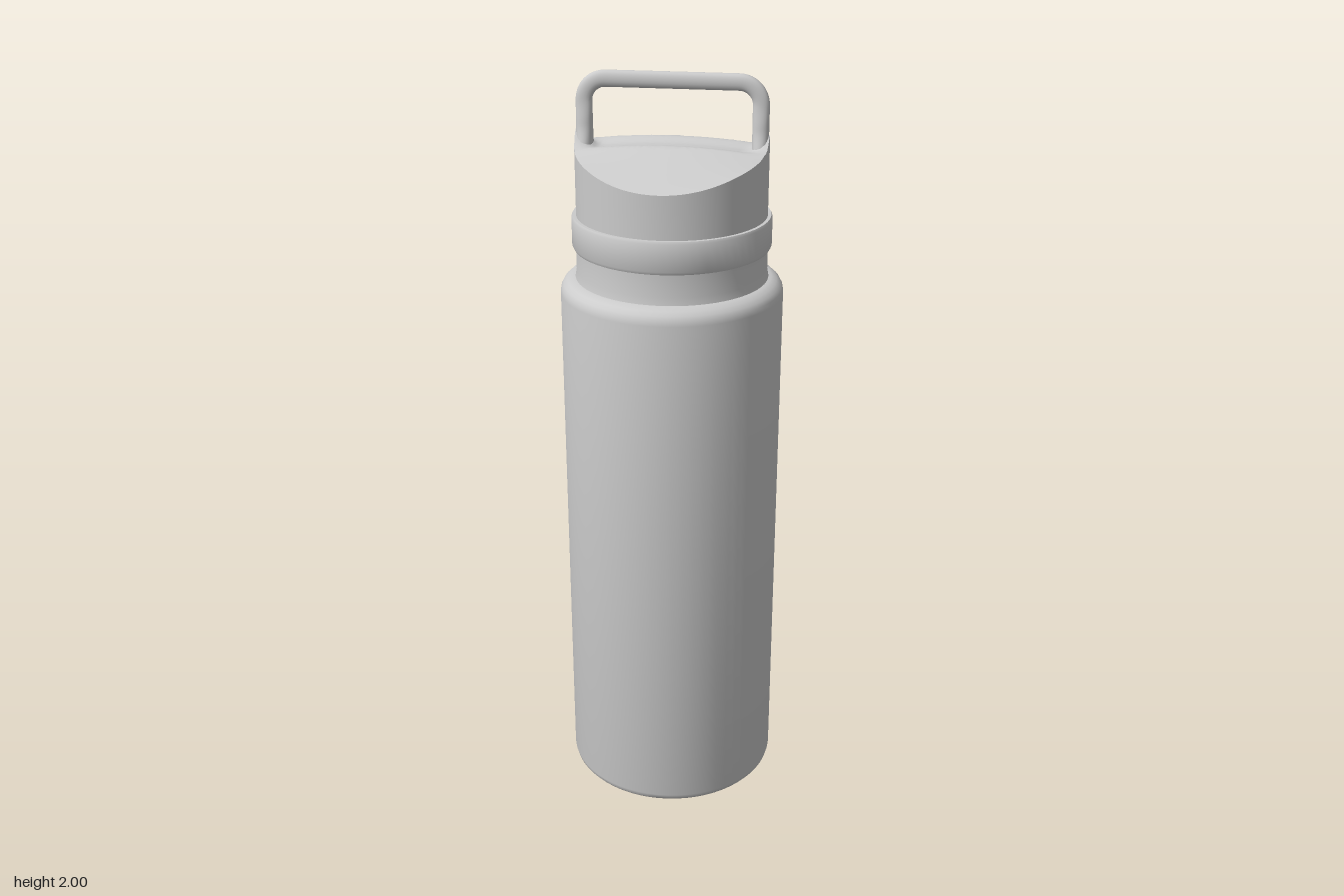
import * as THREE from 'three';
import { toCreasedNormals, mergeVertices } from 'three/addons/utils/BufferGeometryUtils.js';

const material = new THREE.MeshStandardMaterial({ color: 0xcccccc });
const { smoothstep, lerp } = THREE.MathUtils;

function addMesh(group, name, geometry) {
  const mesh = new THREE.Mesh(geometry, material);
  mesh.name = name;
  group.add(mesh);
}

function lathe(points, segments = 64) {
  return new THREE.LatheGeometry(points.map(([r, y]) => new THREE.Vector2(r, y)), segments);
}

// Height of the pitched lid top, rising into the feet of the handle
function lidHeight(x, z) {
  const az = Math.abs(z);
  const slope = lerp(1.829, 1.755, Math.max(0, (az - 0.06) / 0.185));
  const dip = 0.01 * (1 - smoothstep(az, 0.01, 0.06));
  const crown = 0.3 * x * x * (1 - smoothstep(az, 0.05, 0.22));
  const foot = 0.05 * Math.exp(-((z / 0.032) ** 2)) * smoothstep(Math.abs(x), 0.185, 0.24);
  return slope - dip - crown + foot;
}

function makeLid() {
  const profile = [[0.245, 1.63], [0.245, 1.75]];
  for (let i = 1; i <= 20; i++) profile.push([0.245 * (1 - i / 20), 1.75]);
  const geometry = lathe(profile, 128);
  const p = geometry.attributes.position;
  for (let i = 0; i < p.count; i++) {
    if (p.getY(i) > 1.7) p.setY(i, lidHeight(p.getX(i), p.getZ(i)));
  }
  return toCreasedNormals(geometry, 0.7);
}

// Carry loop: a tube along a rounded arch, thin at the top and flared at the feet
function makeHandle() {
  const w = 0.222, top = 1.979, r = 0.055, tube = 0.021;
  const arch = new THREE.Path();
  arch.moveTo(w, 1.74);
  arch.lineTo(w, top - r);
  arch.absarc(w - r, top - r, r, 0, Math.PI / 2, false);
  arch.lineTo(-w + r, top);
  arch.absarc(-w + r, top - r, r, Math.PI / 2, Math.PI, false);
  arch.lineTo(-w, 1.74);
  const points = arch.getSpacedPoints(80).map((q) => new THREE.Vector3(q.x, q.y, 0));
  const curve = new THREE.CatmullRomCurve3(points);
  let geometry = new THREE.TubeGeometry(curve, 120, tube, 20, false);
  const p = geometry.attributes.position;
  for (let i = 0; i < p.count; i++) {
    const y = p.getY(i), t = p.getZ(i) / tube;
    const half = 0.015 + 0.006 * smoothstep(-y, -1.93, -1.86) + 0.016 * smoothstep(-y, -1.87, -1.79);
    p.setZ(i, Math.sign(t) * Math.abs(t) ** 0.75 * half);
  }
  geometry.deleteAttribute('uv');
  geometry.deleteAttribute('normal');
  geometry = mergeVertices(geometry, 1e-5);
  geometry.computeVertexNormals();
  return geometry;
}

export function createModel() {
  const group = new THREE.Group();
  group.name = 'bottle';

  // Main vessel with softened base and shoulder
  addMesh(group, 'body', toCreasedNormals(lathe([
    [0, 0], [0.272, 0], [0.281, 0.003], [0.287, 0.01], [0.29, 0.022],
    [0.29, 1.44], [0.288, 1.453], [0.282, 1.464], [0.272, 1.473], [0.258, 1.48], [0.24, 1.481],
  ]), 0.75));

  // Neck below the collar
  addMesh(group, 'neck', toCreasedNormals(lathe([
    [0.235, 1.475], [0.251, 1.478], [0.247, 1.5], [0.247, 1.565],
  ]), 0.6));

  // Raised collar band
  addMesh(group, 'collar', toCreasedNormals(lathe([
    [0.244, 1.56], [0.253, 1.56], [0.257, 1.568], [0.257, 1.638], [0.254, 1.644], [0.24, 1.644],
  ]), 0.6));

  addMesh(group, 'lid', makeLid());
  addMesh(group, 'handle', makeHandle());
  return group;
}
